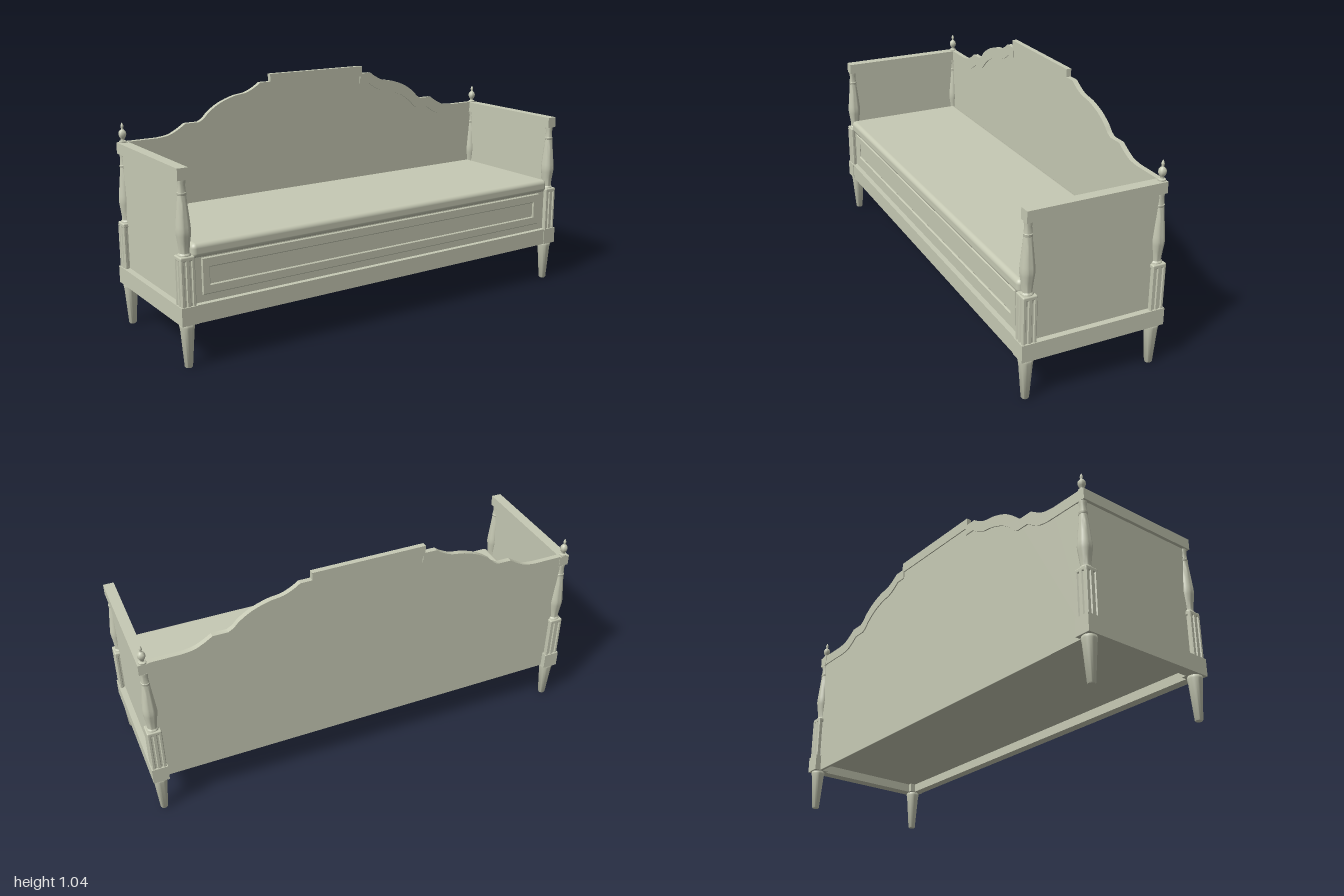
import * as THREE from 'three';
import { RoundedBoxGeometry } from 'three/addons/geometries/RoundedBoxGeometry.js';
import { toCreasedNormals } from 'three/addons/utils/BufferGeometryUtils.js';

const material = new THREE.MeshStandardMaterial({ color: 0xc6c9b4 });
const POST_X = 0.965, POST_Z = 0.285;

function add(parent, name, geometry, x = 0, y = 0, z = 0) {
  const mesh = new THREE.Mesh(geometry, material);
  mesh.name = name;
  mesh.position.set(x, y, z);
  parent.add(mesh);
  return mesh;
}

// Box given by its limits on each axis
function addBox(parent, name, x0, x1, y0, y1, z0, z1) {
  return add(parent, name, new THREE.BoxGeometry(x1 - x0, y1 - y0, z1 - z0),
    (x0 + x1) / 2, (y0 + y1) / 2, (z0 + z1) / 2);
}

// Turned part from [radius, height] pairs
function turned(points) {
  const geometry = new THREE.LatheGeometry(points.map(([r, y]) => new THREE.Vector2(r, y)), 24);
  return toCreasedNormals(geometry, 0.7);
}

function rectangle(Type, x0, x1, y0, y1) {
  return new Type([[x0, y0], [x1, y0], [x1, y1], [x0, y1]].map(([x, y]) => new THREE.Vector2(x, y)));
}

// Square post section with grooves along all four faces
function flutedBlock(half, height) {
  const shape = new THREE.Shape();
  const side = [[-1, 0.12], [-0.88, 0], [-0.62, 0], [-0.5, 0.16], [-0.3, 0.16], [-0.18, 0],
    [0.18, 0], [0.3, 0.16], [0.5, 0.16], [0.62, 0], [0.88, 0]];
  for (let k = 0; k < 4; k++) {
    const c = Math.cos(k * Math.PI / 2), s = Math.sin(k * Math.PI / 2);
    side.forEach(([u, d], i) => {
      const px = u * half, py = (-1 + d) * half;
      const x = px * c - py * s, y = px * s + py * c;
      if (k === 0 && i === 0) shape.moveTo(x, y); else shape.lineTo(x, y);
    });
  }
  const geometry = new THREE.ExtrudeGeometry(shape, { depth: height, bevelEnabled: false });
  return geometry.rotateX(-Math.PI / 2);
}

// Right half of the crest, from centre to end, then mirrored
function crestLine() {
  const shoulder = new THREE.SplineCurve([[0.305, 1.01], [0.335, 0.99], [0.38, 0.97], [0.44, 0.96],
    [0.51, 0.935], [0.565, 0.9], [0.59, 0.875], [0.615, 0.86]].map(p => new THREE.Vector2(...p)));
  const sweep = new THREE.SplineCurve([[0.68, 0.86], [0.72, 0.835], [0.76, 0.817], [0.81, 0.81]]
    .map(p => new THREE.Vector2(...p)));
  const half = [new THREE.Vector2(0.253, 1.045), new THREE.Vector2(0.253, 1.01),
    ...shoulder.getPoints(28), ...sweep.getPoints(12), new THREE.Vector2(0.965, 0.81)];
  const mirrored = half.map(p => new THREE.Vector2(-p.x, p.y)).reverse();
  return [...mirrored, ...half];
}

function addBack(parent) {
  const top = crestLine();
  const last = top.length - 1;
  // Lower edge of the crest moulding
  const lower = top.map((p, i) => new THREE.Vector2(
    i === 0 || i === last ? p.x : p.x * 0.965, p.y - 0.048));
  const panel = new THREE.Shape([...top.map(p => new THREE.Vector2(p.x, p.y - 0.01)),
    new THREE.Vector2(0.965, 0.185), new THREE.Vector2(-0.965, 0.185)]);
  const band = new THREE.Shape([...top, ...lower.reverse()]);
  const extrude = (shape, depth) => toCreasedNormals(
    new THREE.ExtrudeGeometry(shape, { depth, bevelEnabled: false }), 0.5);
  add(parent, 'backPanel', extrude(panel, 0.013), 0, 0, -0.293);
  add(parent, 'backCrestMoulding', extrude(band, 0.023), 0, 0, -0.298);
}

function addPost(parent, sx, sz) {
  const post = new THREE.Group();
  post.name = (sz > 0 ? 'front' : 'back') + (sx > 0 ? 'Left' : 'Right') + 'Post';
  post.position.set(sx * POST_X, 0, sz * POST_Z);
  parent.add(post);

  add(post, 'leg', turned([[0, 0], [0.014, 0], [0.0165, 0.004], [0.0285, 0.16], [0.031, 0.172],
    [0.031, 0.18], [0.028, 0.186], [0, 0.186]]));
  addBox(post, 'cornerBlock', -0.035, 0.035, 0.185, 0.26, -0.035, 0.035);
  add(post, 'flutedBlock', flutedBlock(0.031, 0.19), 0, 0.26, 0);
  add(post, 'blockCap', new RoundedBoxGeometry(0.062, 0.02, 0.062, 2, 0.006), 0, 0.452, 0);
  add(post, 'turnedColumn', turned([[0, 0.458], [0.026, 0.458], [0.026, 0.466], [0.021, 0.472],
    [0.0215, 0.485], [0.025, 0.515], [0.029, 0.542], [0.0305, 0.558], [0.029, 0.578], [0.025, 0.62],
    [0.0205, 0.665], [0.017, 0.7], [0.0185, 0.702], [0.0185, 0.71], [0.0165, 0.712],
    [0.0145, 0.74], [0.0165, 0.752], [0.0165, 0.762], [0, 0.762]]));

  if (sz < 0) {
    add(post, 'finial', turned([[0, 0.808], [0.016, 0.808], [0.016, 0.814], [0.008, 0.818],
      [0.008, 0.824], [0.0135, 0.832], [0.0165, 0.842], [0.0155, 0.852], [0.01, 0.86], [0.005, 0.864],
      [0.005, 0.87], [0.0068, 0.875], [0.0055, 0.882], [0.003, 0.888], [0, 0.893]]));
  }
}

function addArm(parent, s) {
  const arm = new THREE.Group();
  arm.name = s > 0 ? 'leftArm' : 'rightArm';
  arm.position.x = s * POST_X;
  parent.add(arm);
  addBox(arm, 'armRail', -0.023, 0.023, 0.76, 0.808, -0.3, 0.302);
  addBox(arm, 'armPanel', -0.009, 0.009, 0.25, 0.762, -0.285, 0.285);
  const inner = -0.015 * s, outer = 0.035 * s;
  addBox(arm, 'sideRail', Math.min(inner, outer), Math.max(inner, outer), 0.185, 0.26, -0.3, 0.3);
}

function addFront(parent) {
  addBox(parent, 'frontRail', -0.95, 0.95, 0.185, 0.26, 0.275, 0.317);
  addBox(parent, 'frontBoard', -0.94, 0.94, 0.26, 0.462, 0.265, 0.294);
  // Bevelled frame around a sunken field
  const frame = rectangle(THREE.Shape, -0.896, 0.896, 0.294, 0.438);
  frame.holes.push(rectangle(THREE.Path, -0.869, 0.869, 0.326, 0.404));
  add(parent, 'frontPanelFrame', new THREE.ExtrudeGeometry(frame, {
    depth: 0.003, bevelEnabled: true, bevelThickness: 0.004, bevelSize: 0.004, bevelSegments: 1,
  }), 0, 0, 0.295);
}

export function createModel() {
  const daybed = new THREE.Group();
  daybed.name = 'daybed';

  for (const s of [1, -1]) {
    addArm(daybed, s);
    addPost(daybed, s, 1);
    addPost(daybed, s, -1);
  }
  addBack(daybed);
  addFront(daybed);

  addBox(daybed, 'seatPlatform', -0.955, 0.955, 0.225, 0.255, -0.282, 0.28);
  add(daybed, 'mattress', new RoundedBoxGeometry(1.884, 0.06, 0.59, 5, 0.02), 0, 0.476, 0.016);
  return daybed;
}
